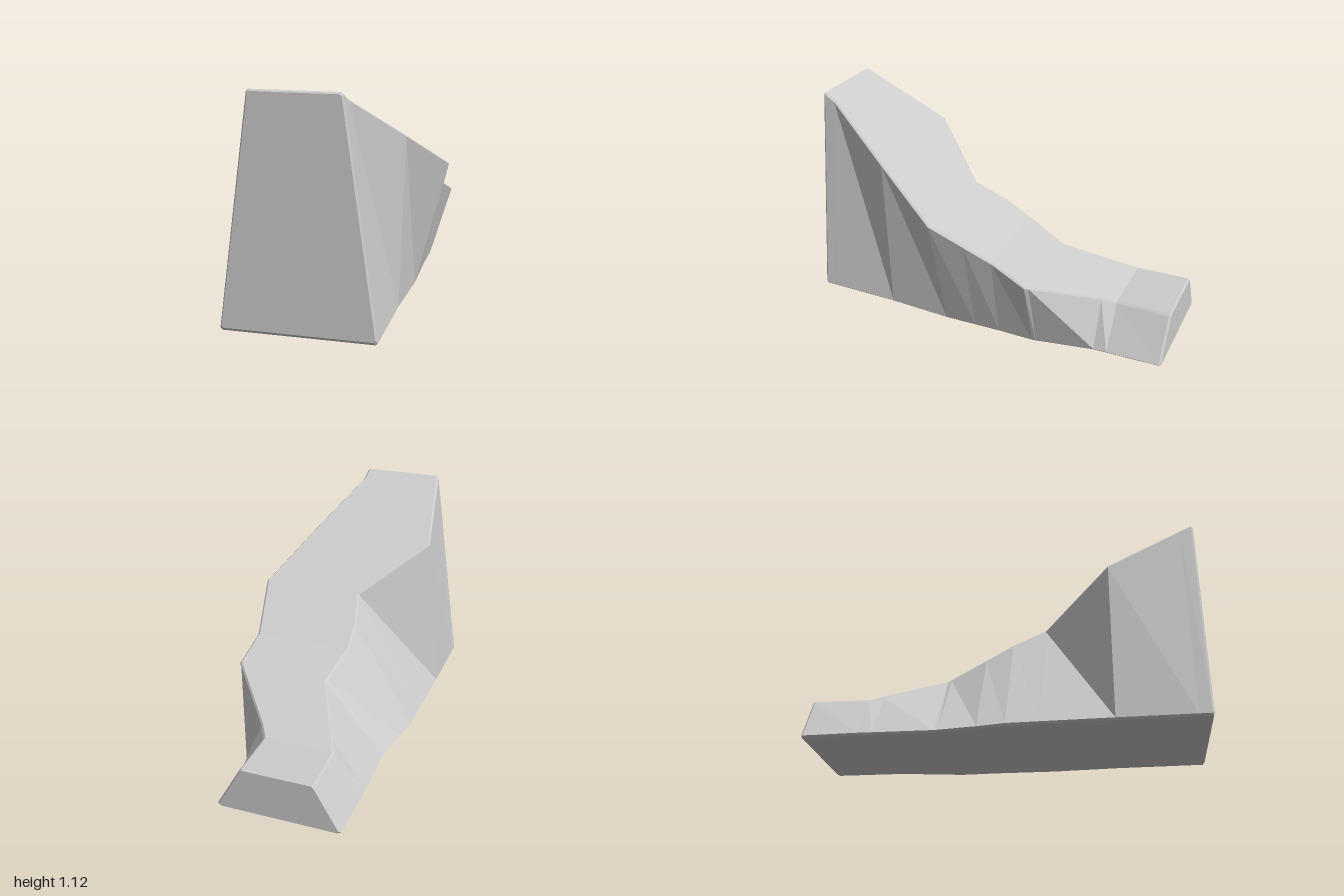
import * as THREE from 'three';

const BEVEL = 0.01, END = 0.985, SKEW = 0.04;

// Outline profiles, each a list of [z, value] from back to front
const topLeft = [[-END, -0.22], [-0.70, -0.22], [-0.33, -0.055], [-0.12, -0.11], [0.02, -0.11],
  [0.19, -0.07], [0.535, -0.38], [END, -0.32]];
const topRight = [[-END, 0.16], [-0.70, 0.15], [-0.63, 0.19], [-0.31, 0.44], [-0.12, 0.41],
  [0.19, 0.475], [0.535, 0.31], [0.915, 0.12], [END, 0.11]];
const baseLeft = [[-END, -0.345], [-0.70, -0.36], [-0.33, -0.365], [-0.12, -0.40], [0.02, -0.43],
  [0.19, -0.44], [0.535, -0.46], [END, -0.48]];
const baseRight = [[-END, 0.285], [-0.63, 0.28], [-0.31, 0.325], [-0.12, 0.315],
  [0.19, 0.31], [0.535, 0.28], [END, 0.26]];
const height = [[-END, 0.24], [-0.70, 0.24], [-0.12, 0.485], [END, 1.125]];

function sample(profile, z) {
  let i = 1;
  while (i < profile.length - 1 && profile[i][0] < z) i++;
  const [z0, v0] = profile[i - 1], [z1, v1] = profile[i];
  return THREE.MathUtils.lerp(v0, v1, (z - z0) / (z1 - z0));
}

// Chamfered four-sided cross-section, counter-clockwise seen from the front
function crossSection(z, scale = 1) {
  const h = sample(height, z), b = BEVEL;
  const bl = sample(baseLeft, z), br = sample(baseRight, z);
  const tl = sample(topLeft, z), tr = sample(topRight, z);
  const cx = (bl + br + tl + tr) / 4, cy = h / 2;
  return [
    [bl + b, 0], [br - b, 0], [br, b], [tr, h - b],
    [tr - b, h], [tl + b, h], [tl, h - b], [bl, b],
  ].map(([x, y]) => {
    const px = cx + (x - cx) * scale;
    return new THREE.Vector3(px, cy + (y - cy) * scale, z + SKEW * px);
  });
}

function rampGeometry() {
  // A section wherever any profile bends, plus narrow bevel sections at the ends
  const bends = [topLeft, topRight, baseLeft, baseRight, height].flat().map(p => p[0]);
  const inner = [...new Set(bends)].filter(z => Math.abs(z) < END);
  const zs = [...inner, -END + BEVEL, END - BEVEL].sort((a, b) => a - b);
  const rings = [crossSection(-END, 0.965), ...zs.map(z => crossSection(z)), crossSection(END, 0.975)];
  const points = [];
  const n = rings[0].length;
  for (let i = 0; i < rings.length - 1; i++) {
    for (let j = 0; j < n; j++) {
      const k = (j + 1) % n;
      const a = rings[i][j], b = rings[i][k], c = rings[i + 1][k], d = rings[i + 1][j];
      points.push(a, b, c, a, c, d);
    }
  }
  // Flat end caps
  const back = rings[0], front = rings[rings.length - 1];
  for (let j = 1; j < n - 1; j++) {
    points.push(back[0], back[j + 1], back[j], front[0], front[j], front[j + 1]);
  }
  const geometry = new THREE.BufferGeometry().setFromPoints(points);
  geometry.computeVertexNormals();
  return geometry;
}

export function createModel() {
  const group = new THREE.Group();
  group.name = 'rockRamp';
  const material = new THREE.MeshStandardMaterial({ color: 0xcccccc, flatShading: true });
  const ramp = new THREE.Mesh(rampGeometry(), material);
  ramp.name = 'rampBody';
  group.add(ramp);
  return group;
}
